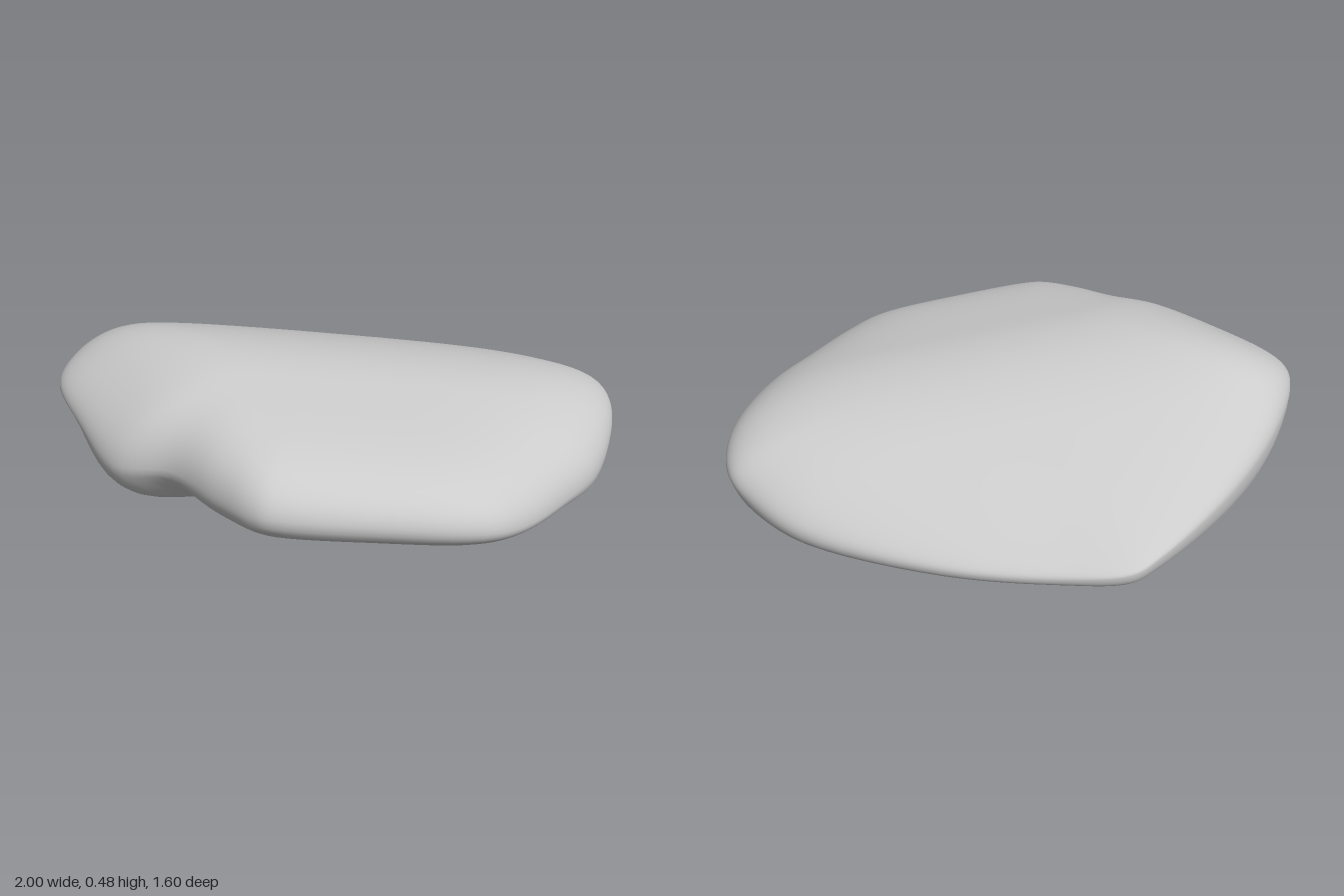
import * as THREE from 'three';
import { mergeVertices } from 'three/addons/utils/BufferGeometryUtils.js';

// Widest outline of the stone, counterclockwise from the front tip:
// x, z, height of the rim, size of the flat base relative to the rim
const OUTLINE = [
  [0, 0.79, 0.2, 0.36], [0.08, 0.795, 0.2, 0.36], [0.4, 0.68, 0.17, 0.48],
  [0.72, 0.52, 0.13, 0.66], [0.825, 0.38, 0.1, 0.8], [0.92, 0.16, 0.09, 0.88],
  [0.995, -0.06, 0.1, 0.94], [0.99, -0.38, 0.15, 0.93], [0.92, -0.56, 0.15, 0.92],
  [0.82, -0.64, 0.12, 0.92], [0.6, -0.74, 0.08, 0.94], [0.1, -0.8, 0.06, 0.95],
  [-0.3, -0.77, 0.06, 0.95], [-0.52, -0.73, 0.08, 0.94], [-0.6, -0.66, 0.1, 0.93],
  [-0.82, -0.35, 0.17, 0.9], [-0.95, -0.08, 0.25, 0.86], [-0.995, 0.15, 0.29, 0.8],
  [-0.97, 0.3, 0.28, 0.75], [-0.8, 0.47, 0.24, 0.74], [-0.58, 0.62, 0.17, 0.77],
  [-0.35, 0.64, 0.2, 0.55], [-0.15, 0.73, 0.2, 0.42],
];
const BASE_Y = 0.012;

// Hollows worn into the side below the rim: x, z, depth
const DENTS = [[-0.93, 0.38, 0.1], [-0.4, 0.63, 0.05], [0.97, -0.45, 0.03]];

function softMin(a, b, k) {
  const h = Math.max(k - Math.abs(a - b), 0) / k;
  return Math.min(a, b) - h * h * k / 4;
}

// Front and back slopes meet in a soft diagonal ridge; a third drops to the left end
function topHeight(x, z) {
  const front = 0.455 - 0.165 * x - 0.1 * z;
  const back = 0.508 + 0.072 * x + 0.47 * z;
  const left = 0.52 + 0.2 * (x + 0.55) - 0.3 * (z - 0.14);
  return softMin(softMin(front, back, 0.18), left, 0.08);
}

function stoneGeometry() {
  const rimCurve = new THREE.CatmullRomCurve3(
    OUTLINE.map(([x, z, y]) => new THREE.Vector3(x, y, z)), true);
  const baseCurve = new THREE.CatmullRomCurve3(
    OUTLINE.map((p) => new THREE.Vector3(p[3], 0, 0)), true, 'catmullrom', 0.5);

  const columns = OUTLINE.length * 6;
  const topRows = 32, sideRows = 14, baseRows = 4;
  const rows = topRows + sideRows + baseRows;
  const positions = [], index = [];

  for (let i = 0; i <= rows; i++) {
    for (let j = 0; j < columns; j++) {
      const rim = rimCurve.getPoint(j / columns);
      const base = baseCurve.getPoint(j / columns).x;
      let s, y;
      if (i <= topRows) {
        // Top: follows the slopes and rounds over into the rim
        s = Math.sin((i / topRows) * Math.PI / 2);
        const top = Math.max(topHeight(rim.x * s, rim.z * s), rim.y + 0.01);
        y = rim.y + (top - rim.y) * Math.sqrt(Math.max(0, 1 - s ** 7));
      } else if (i <= topRows + sideRows) {
        // Side: curves under the rim to the base
        const a = ((i - topRows) / sideRows) * Math.PI / 2;
        s = base + (1 - base) * Math.cos(a);
        y = BASE_Y + (rim.y - BASE_Y) * (1 - Math.sin(a));
        for (const [dx, dz, depth] of DENTS) {
          const d2 = (rim.x - dx) ** 2 + (rim.z - dz) ** 2;
          s -= depth * Math.exp(-d2 / 0.02) * Math.sin(2 * a);
        }
      } else {
        // Nearly flat underside
        const t = (i - topRows - sideRows) / baseRows;
        s = base * (1 - t);
        y = BASE_Y * (1 - t);
      }
      positions.push(rim.x * s, y, rim.z * s);
      if (i < rows) {
        const n = (j + 1) % columns;
        const a = i * columns + j, b = a + columns;
        const c = (i + 1) * columns + n, d = i * columns + n;
        if (i < rows - 1) index.push(a, b, c);
        if (i > 0) index.push(a, c, d);
      }
    }
  }

  let geometry = new THREE.BufferGeometry();
  geometry.setAttribute('position', new THREE.Float32BufferAttribute(positions, 3));
  geometry.setIndex(index);
  geometry = mergeVertices(geometry, 1e-5);
  geometry.computeVertexNormals();
  return geometry;
}

export function createModel() {
  const model = new THREE.Group();
  model.name = 'flatRock';
  const stone = new THREE.Mesh(
    stoneGeometry(), new THREE.MeshStandardMaterial({ color: 0xcccccc }));
  stone.name = 'stone';
  model.add(stone);
  return model;
}
